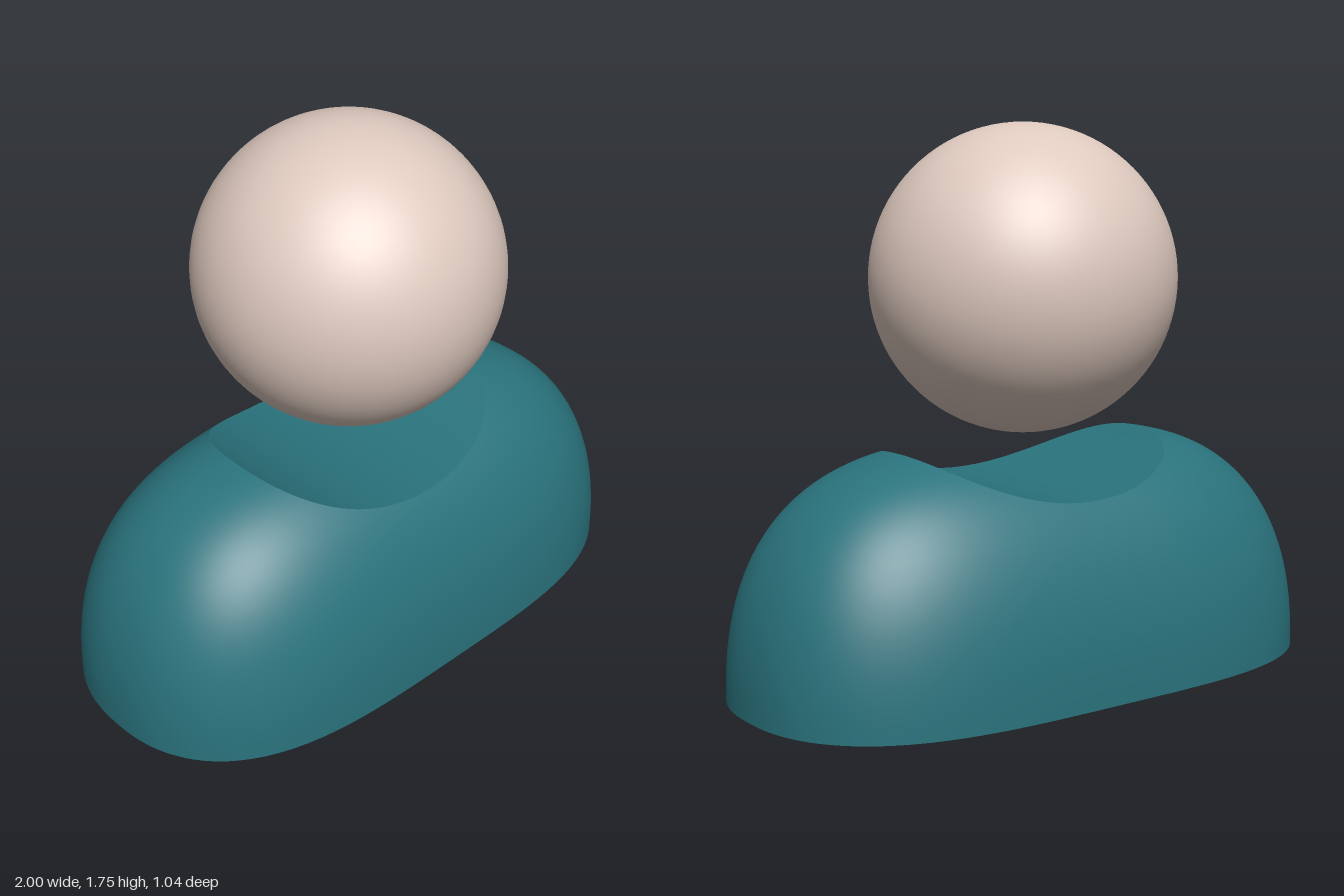
import * as THREE from 'three';

const SEGMENTS = 128;
const HEIGHT = 0.768, HALF_DEPTH = 0.52; // half width is 1
const SCOOP_Y = 1.434, SCOOP_R = 0.834; // round neckline cut running front to back

// Height of the full shoulder dome above a point of the plan
function domeHeight(x, z) {
  const rest = 1 - Math.abs(x) ** 3.55 - Math.abs(z / HALF_DEPTH) ** 2.3;
  return HEIGHT * Math.max(0, rest) ** (1 / 2.3);
}

function scoopHeight(x) {
  return SCOOP_Y - Math.sqrt(Math.max(0, SCOOP_R ** 2 - x * x));
}

// Largest radius along a direction for which the test still holds
function bisect(test) {
  let low = 0, high = 1.5;
  for (let i = 0; i < 40; i++) {
    const mid = (low + high) / 2;
    if (test(mid)) low = mid; else high = mid;
  }
  return low;
}

// Smooth surface from closed loops; pointAt(t, j) gives [x, y, z]
function loopSurface(rows, pointAt) {
  const positions = [], index = [];
  for (let i = 0; i <= rows; i++) {
    for (let j = 0; j < SEGMENTS; j++) {
      positions.push(...pointAt(i / rows, j));
      if (i === rows) continue;
      const a = i * SEGMENTS + j, b = i * SEGMENTS + (j + 1) % SEGMENTS;
      const c = a + SEGMENTS, d = b + SEGMENTS;
      index.push(a, c, b, b, c, d);
    }
  }
  const geometry = new THREE.BufferGeometry();
  geometry.setAttribute('position', new THREE.Float32BufferAttribute(positions, 3));
  geometry.setIndex(index);
  geometry.computeVertexNormals();
  return geometry;
}

export function createModel() {
  const model = new THREE.Group();
  const skin = new THREE.MeshStandardMaterial({ color: 0xdfcabf });
  const cloth = new THREE.MeshStandardMaterial({ color: 0x2a737d });

  const add = (parent, name, geometry, material) => {
    const mesh = new THREE.Mesh(geometry, material);
    mesh.name = name;
    parent.add(mesh);
    return mesh;
  };

  // Head
  add(model, 'head', new THREE.SphereGeometry(0.488, 64, 48), skin).position.y = 1.26;

  // For each direction: radius of the base outline and of the neckline rim
  const rays = Array.from({ length: SEGMENTS }, (_, j) => {
    const angle = (j / SEGMENTS) * Math.PI * 2;
    const dx = Math.cos(angle), dz = Math.sin(angle) * HALF_DEPTH;
    const base = bisect((r) => domeHeight(dx * r, dz * r) > 0);
    const rim = bisect((r) => domeHeight(dx * r, dz * r) > scoopHeight(dx * r));
    return { dx, dz, base, rim };
  });

  const torso = new THREE.Group();
  torso.name = 'torso';
  model.add(torso);

  // Shoulders, from the base outline up to the neckline rim
  add(torso, 'shoulders', loopSurface(32, (t, j) => {
    const { dx, dz, base, rim } = rays[j];
    const r = base * Math.cos(t * Math.acos(rim / base));
    return [dx * r, t === 0 ? 0 : domeHeight(dx * r, dz * r), dz * r];
  }), cloth);

  // Scooped neckline, from the rim to the middle
  add(torso, 'neckline', loopSurface(16, (t, j) => {
    const { dx, dz, rim } = rays[j];
    const r = rim * (1 - t);
    return [dx * r, scoopHeight(dx * r), dz * r];
  }), cloth);

  // Flat underside
  add(torso, 'underside', loopSurface(1, (t, j) => {
    const { dx, dz, base } = rays[j];
    return [dx * base * t, 0, dz * base * t];
  }), cloth);

  return model;
}
